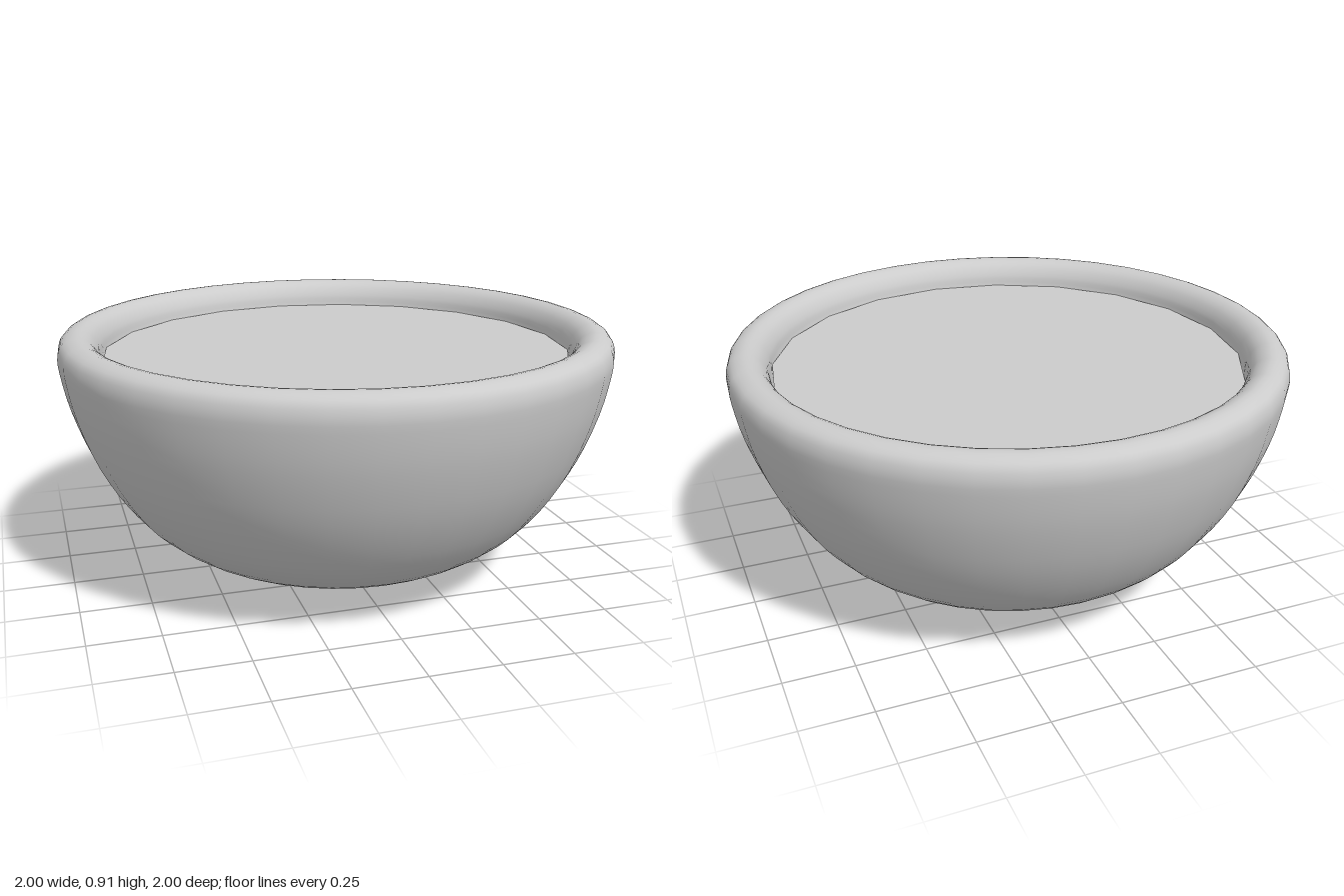
import * as THREE from 'three';

export function createModel() {
  const group = new THREE.Group();
  const material = new THREE.MeshStandardMaterial({ color: 0xcccccc, side: THREE.DoubleSide });

  // Bowl wall: from the underside centre, up the outside, over the rounded lip and down inside
  const profile = new THREE.SplineCurve([
    [0, 0], [0.15, 0.004], [0.38, 0.045], [0.57, 0.11], [0.71, 0.205], [0.81, 0.32],
    [0.9, 0.475], [0.965, 0.65], [0.995, 0.79], [0.997, 0.85], [0.978, 0.89], [0.93, 0.908],
    [0.885, 0.89], [0.858, 0.85], [0.85, 0.81], [0.835, 0.76],
  ].map(([r, y]) => new THREE.Vector2(r, y))).getPoints(45);
  profile[0].set(0, 0);
  const bowl = new THREE.Mesh(new THREE.LatheGeometry(profile, 40), material);
  bowl.name = 'bowl';

  // Flat surface of the contents, just below the lip
  const contents = new THREE.Mesh(new THREE.CircleGeometry(0.85, 20), material);
  contents.name = 'contents';
  contents.rotation.x = -Math.PI / 2;
  contents.position.y = 0.81;

  group.add(bowl, contents);
  return group;
}
